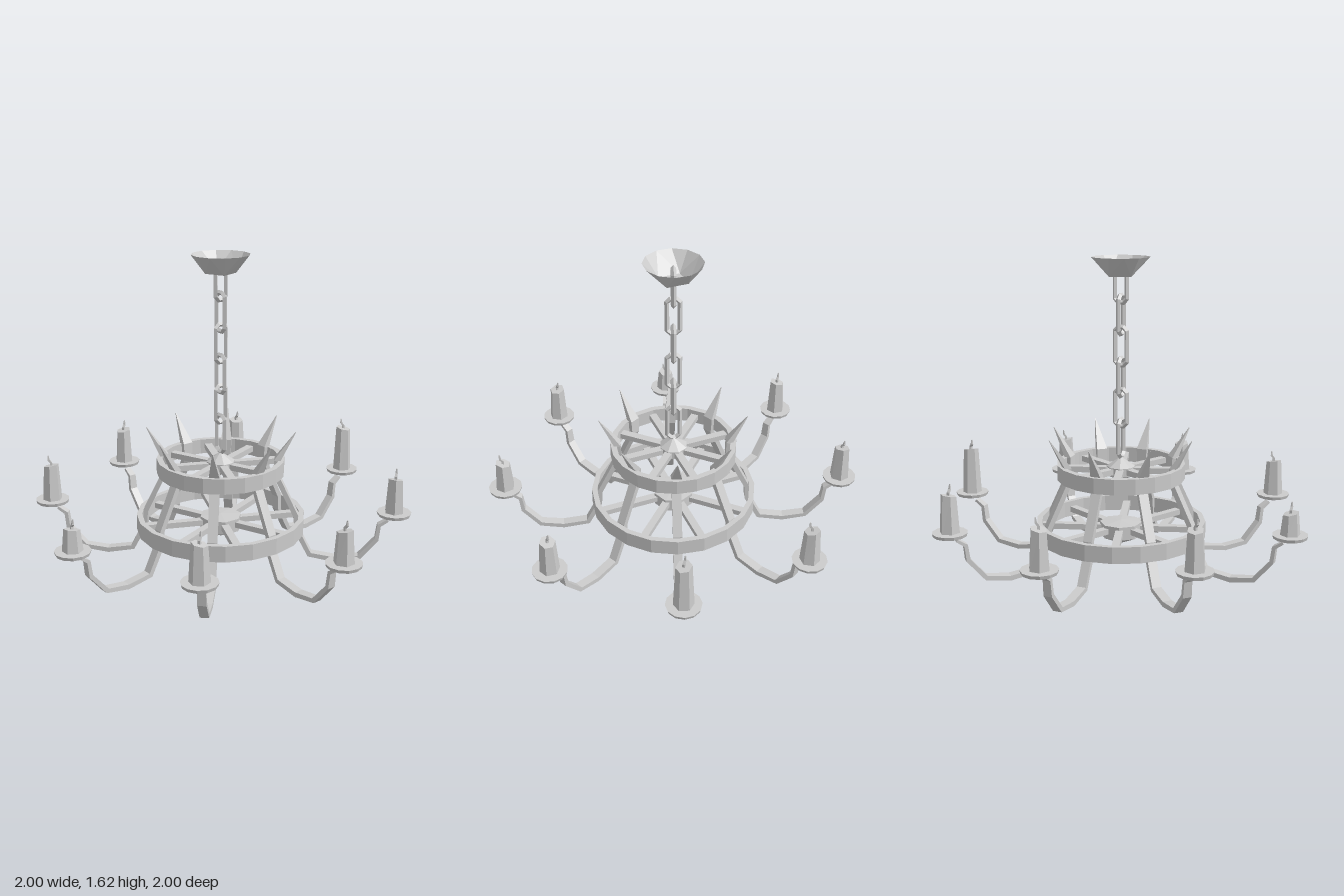
import * as THREE from 'three';

const mat = new THREE.MeshStandardMaterial({ color: 0xcccccc, flatShading: true });
const thinMat = new THREE.MeshStandardMaterial({ color: 0xcccccc, flatShading: true, side: THREE.DoubleSide });
const TWIST = THREE.MathUtils.degToRad(26); // spokes and hubs sit slightly off the arms

function add(parent, name, geometry, x = 0, y = 0, z = 0, material = mat) {
  const mesh = new THREE.Mesh(geometry, material);
  mesh.name = name;
  mesh.position.set(x, y, z);
  parent.add(mesh);
  return mesh;
}

// Rectangular bar along a path in the xy plane; each section is [x, y, width, thickness]
function loft(sections) {
  const pos = [], index = [], last = sections.length - 1;
  sections.forEach(([x, y, w, t], i) => {
    const a = sections[Math.max(i - 1, 0)], b = sections[Math.min(i + 1, last)];
    const len = Math.hypot(b[0] - a[0], b[1] - a[1]);
    const nx = -(b[1] - a[1]) / len, ny = (b[0] - a[0]) / len;
    for (const [n, s] of [[1, 1], [-1, 1], [-1, -1], [1, -1]]) {
      pos.push(x + nx * n * t / 2, y + ny * n * t / 2, s * w / 2);
    }
    if (i === last) return;
    for (let j = 0; j < 4; j++) {
      const p = i * 4 + j, q = i * 4 + (j + 1) % 4;
      index.push(p, q, q + 4, p, q + 4, p + 4);
    }
  });
  const e = last * 4;
  index.push(0, 2, 1, 0, 3, 2, e, e + 1, e + 2, e, e + 2, e + 3);
  const g = new THREE.BufferGeometry();
  g.setAttribute('position', new THREE.Float32BufferAttribute(pos, 3));
  g.setIndex(index);
  g.computeVertexNormals();
  return g;
}

function lathe(points, segments) {
  return new THREE.LatheGeometry(points.map(([x, y]) => new THREE.Vector2(x, y)), segments);
}

// Band with a rectangular section
function ring(inner, outer, y0, y1) {
  return lathe([[inner, y0], [outer, y0], [outer, y1], [inner, y1], [inner, y0]], 20);
}

// Long octagonal chain link
function linkGeometry() {
  const g = new THREE.TorusGeometry(0.035, 0.013, 4, 8).rotateZ(Math.PI / 8);
  const p = g.attributes.position;
  for (let i = 0; i < p.count; i++) p.setY(i, p.getY(i) + Math.sign(p.getY(i)) * 0.065);
  return g;
}

// Open bowl: twelve-sided rim running down to a square foot
function canopyGeometry() {
  const g = new THREE.CylinderGeometry(0.15, 0.079, 0.095, 12, 1, true);
  const p = g.attributes.position, phi = Math.PI / 2 - TWIST, step = Math.PI / 2;
  for (let i = 0; i < p.count; i++) {
    if (p.getY(i) > 0) continue;
    const a = phi + Math.round((Math.atan2(p.getX(i), p.getZ(i)) - phi) / step) * step;
    p.setX(i, 0.079 * Math.sin(a));
    p.setZ(i, 0.079 * Math.cos(a));
  }
  return g;
}

// Candle with a slanted top
function candleGeometry(height, slantX, slantZ) {
  const g = new THREE.CylinderGeometry(0.04, 0.052, height, 6).translate(0, height / 2, 0);
  const p = g.attributes.position;
  for (let i = 0; i < p.count; i++) {
    if (p.getY(i) > height / 2) p.setY(i, height + slantX * p.getX(i) + slantZ * p.getZ(i));
  }
  return g;
}

export function createModel() {
  const model = new THREE.Group();
  model.name = 'chandelier';

  // Ceiling canopy
  const canopy = new THREE.Group();
  canopy.name = 'canopy';
  canopy.position.y = 1.525;
  model.add(canopy);
  add(canopy, 'canopyBowl', canopyGeometry(), 0, 0.0475, 0, thinMat);
  const foot = new THREE.CircleGeometry(0.079, 4).rotateX(Math.PI / 2).rotateY(-TWIST);
  add(canopy, 'canopyFoot', foot, 0, 0, 0, thinMat);

  // Chain, links alternately turned a quarter
  const chain = new THREE.Group();
  chain.name = 'chain';
  model.add(chain);
  const link = linkGeometry();
  for (let i = 0; i < 6; i++) {
    const m = add(chain, 'chainLink', link, 0, 1.49 - i * 0.16, 0);
    m.rotation.y = i % 2 ? 0 : Math.PI / 2;
  }

  // Rings and hubs
  add(model, 'upperRing', ring(0.305, 0.335, 0.48, 0.56));
  add(model, 'lowerRing', ring(0.417, 0.445, 0.165, 0.25));
  const hubs = [
    add(model, 'upperHub', lathe([[0, 0.46], [0.075, 0.495], [0.075, 0.54], [0, 0.59]], 8)),
    add(model, 'lowerHub', lathe([[0, 0.115], [0.11, 0.165], [0.11, 0.235], [0, 0.245]], 8)),
  ];
  hubs.forEach((h) => { h.rotation.y = -TWIST; });

  // Spokes on both levels
  const spokes = new THREE.Group();
  spokes.name = 'spokes';
  model.add(spokes);
  for (const [y, start, end] of [[0.52, 0.05, 0.315], [0.205, 0.08, 0.425]]) {
    const g = new THREE.BoxGeometry(end - start, 0.03, 0.04).translate((start + end) / 2, y, 0);
    for (let i = 0; i < 8; i++) add(spokes, 'spoke', g).rotation.y = i * Math.PI / 4 - TWIST;
  }

  // Arms with spike, dish, candle and wick
  const armGeometry = loft([
    [0.39, 0.71, 0.003, 0.003], [0.295, 0.555, 0.058, 0.032], [0.29, 0.48, 0.05, 0.026],
    [0.40, 0.25, 0.048, 0.026], [0.405, 0.17, 0.048, 0.026], [0.475, 0.035, 0.048, 0.026],
    [0.61, 0.013, 0.048, 0.026], [0.735, 0.03, 0.046, 0.024], [0.825, 0.135, 0.044, 0.022],
    [0.835, 0.215, 0.04, 0.02], [0.88, 0.245, 0.036, 0.014],
  ]);
  const dish = new THREE.CylinderGeometry(0.09, 0.085, 0.017, 12);
  const wick = loft([[0, -0.03, 0.014, 0.014], [0, 0.015, 0.012, 0.012],
    [0.012, 0.03, 0.011, 0.011], [0.014, 0.055, 0.005, 0.005]]);
  const tops = [0.45, 0.47, 0.535, 0.48, 0.48, 0.48, 0.40, 0.475];
  tops.forEach((top, i) => {
    const arm = new THREE.Group();
    arm.name = 'candleArm';
    arm.rotation.y = i * Math.PI / 4;
    model.add(arm);
    add(arm, 'arm', armGeometry);
    add(arm, 'dish', dish, 0.91, 0.2815, 0);
    const slant = 0.22;
    const candle = candleGeometry(top - 0.285, slant * Math.cos(i * 2), slant * Math.sin(i * 2));
    add(arm, 'candle', candle, 0.91, 0.285, 0);
    add(arm, 'wick', wick, 0.91, top, 0).rotation.y = i * 1.3;
  });

  return model;
}
